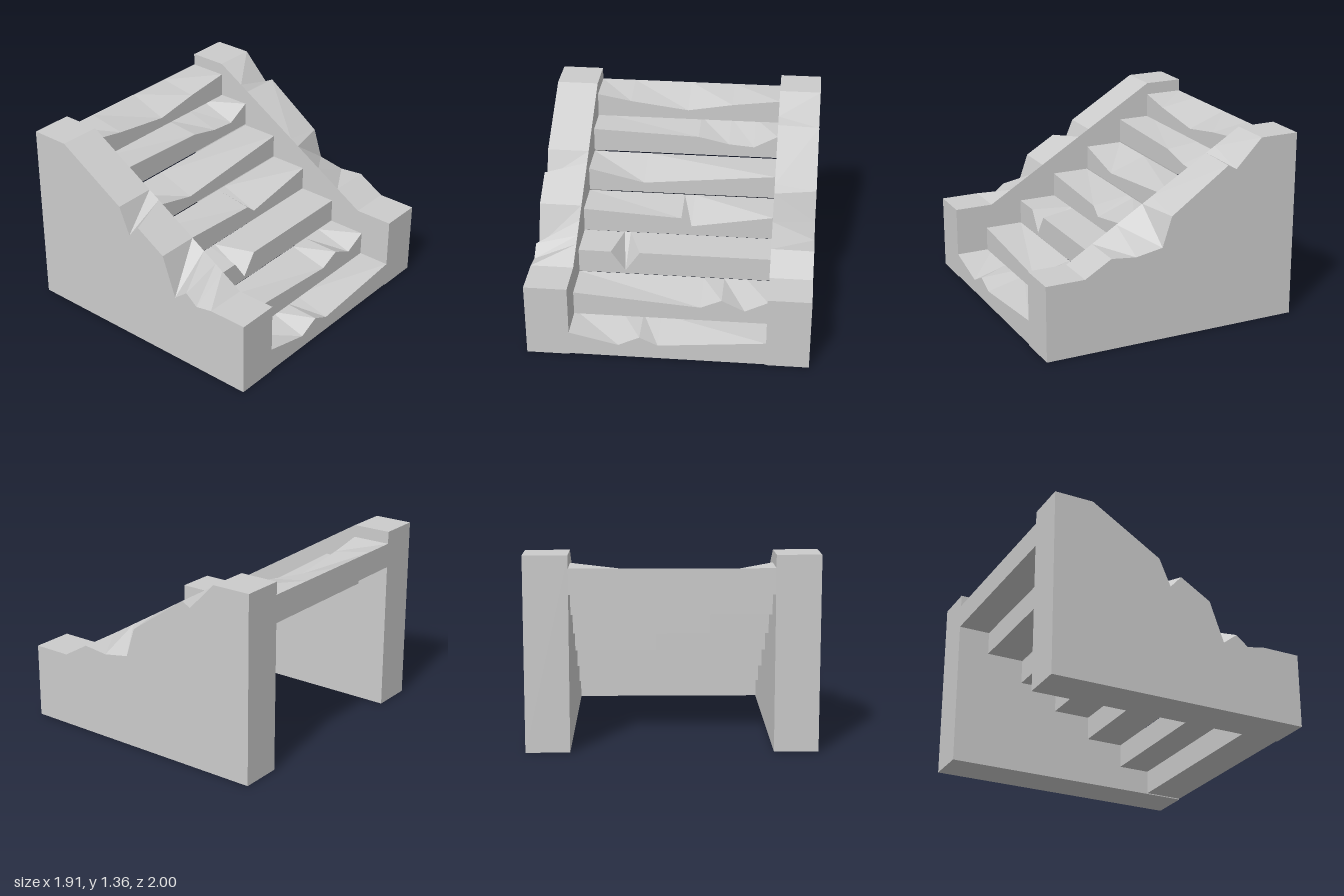
import * as THREE from 'three';

const INNER = 0.695, OUTER = 1, TREAD = 0.285, THICK = 0.178;

// Flat-shaded solid through a row of four-cornered cross-sections, capped at both ends.
function loft(name, rings) {
  const pos = [];
  const quad = (a, b, c, d) => pos.push(...a, ...b, ...c, ...a, ...c, ...d);
  for (let i = 0; i < rings.length - 1; i++) {
    const r = rings[i], s = rings[i + 1];
    for (let k = 0; k < 4; k++) {
      const n = (k + 1) % 4;
      quad(r[k], r[n], s[n], s[k]);
    }
  }
  const [a, b, c, d] = rings[0];
  quad(d, c, b, a);
  quad(...rings[rings.length - 1]);
  const geometry = new THREE.BufferGeometry();
  geometry.setAttribute('position', new THREE.Float32BufferAttribute(pos, 3));
  geometry.computeVertexNormals();
  const material = new THREE.MeshStandardMaterial({ color: 0xcccccc, flatShading: true });
  const mesh = new THREE.Mesh(geometry, material);
  mesh.name = name;
  return mesh;
}

// Undamaged height of the side walls: flat, sloping, flat.
const wallTop = (x) => THREE.MathUtils.mapLinear(THREE.MathUtils.clamp(x, -0.67, 0.67), -0.67, 0.67, 1.355, 0.545);

// Side wall: the inner edge keeps the slope, the outer edge is chipped. chips: [x, y, inner x]
function sideWall(name, side, chips) {
  const line = [[-0.955, 1.355], [-0.67, 1.355], ...chips, [0.67, 0.545], [0.955, 0.545]];
  return loft(name, line.map(([x, y, xi = x]) => {
    const zi = side * INNER, zo = side * OUTER;
    const inner = [[xi, wallTop(xi), zi], [xi, 0, zi]];
    const outer = [[x, y, zo], [x, 0, zo]];
    const [low, high] = side > 0 ? [inner, outer] : [outer, inner];
    return [low[0], high[0], high[1], low[1]];
  }));
}

// Step: a slab whose front edge is chipped. chips: [z, y, back z]
function step(nose, top, chips) {
  const line = [[-INNER, top], ...chips, [INNER, top]];
  const back = nose - TREAD, bottom = top - THICK;
  return loft('step', line.map(([z, y, zb = z]) =>
    [[nose, y, z], [back, top, zb], [back, bottom, zb], [nose, bottom, z]]));
}

export function createModel() {
  const model = new THREE.Group();
  model.name = 'brokenStaircase';

  model.add(sideWall('frontWall', 1, [
    [-0.155, 1.043], [-0.07, 0.845], [0.015, 0.94], [0.24, 0.805],
    [0.345, 0.51], [0.45, 0.593], [0.54, 0.52, 0.51],
  ]));
  model.add(sideWall('backWall', -1, [
    [-0.475, 1.155], [-0.41, 1.19], [0.02, 0.89], [0.09, 0.675],
    [0.29, 0.64], [0.475, 0.66],
  ]));

  // Steps from the lowest to the highest
  const steps = [
    [0.955, 0.185, [[0.065, 0.115], [0.195, 0.175], [0.345, 0.102]]],
    [0.715, 0.363, [[-0.53, 0.28], [-0.365, 0.36], [-0.215, 0.292]]],
    [0.43, 0.543, [[0.25, 0.543, 0.305], [0.355, 0.39, 0.35], [0.46, 0.543, 0.395]]],
    [0.145, 0.722, [[-0.1, 0.618], [-0.025, 0.682]]],
    [-0.145, 0.902, [[0.28, 0.803]]],
    [-0.43, 1.088, [[-0.52, 0.992], [-0.33, 1.008], [-0.1, 1.06]]],
    [-0.67, 1.265, [[-0.34, 1.22], [0, 1.16], [0.44, 1.218]]],
  ];
  const flight = new THREE.Group();
  flight.name = 'steps';
  for (const [nose, top, chips] of steps) flight.add(step(nose, top, chips));
  model.add(flight);

  return model;
}
